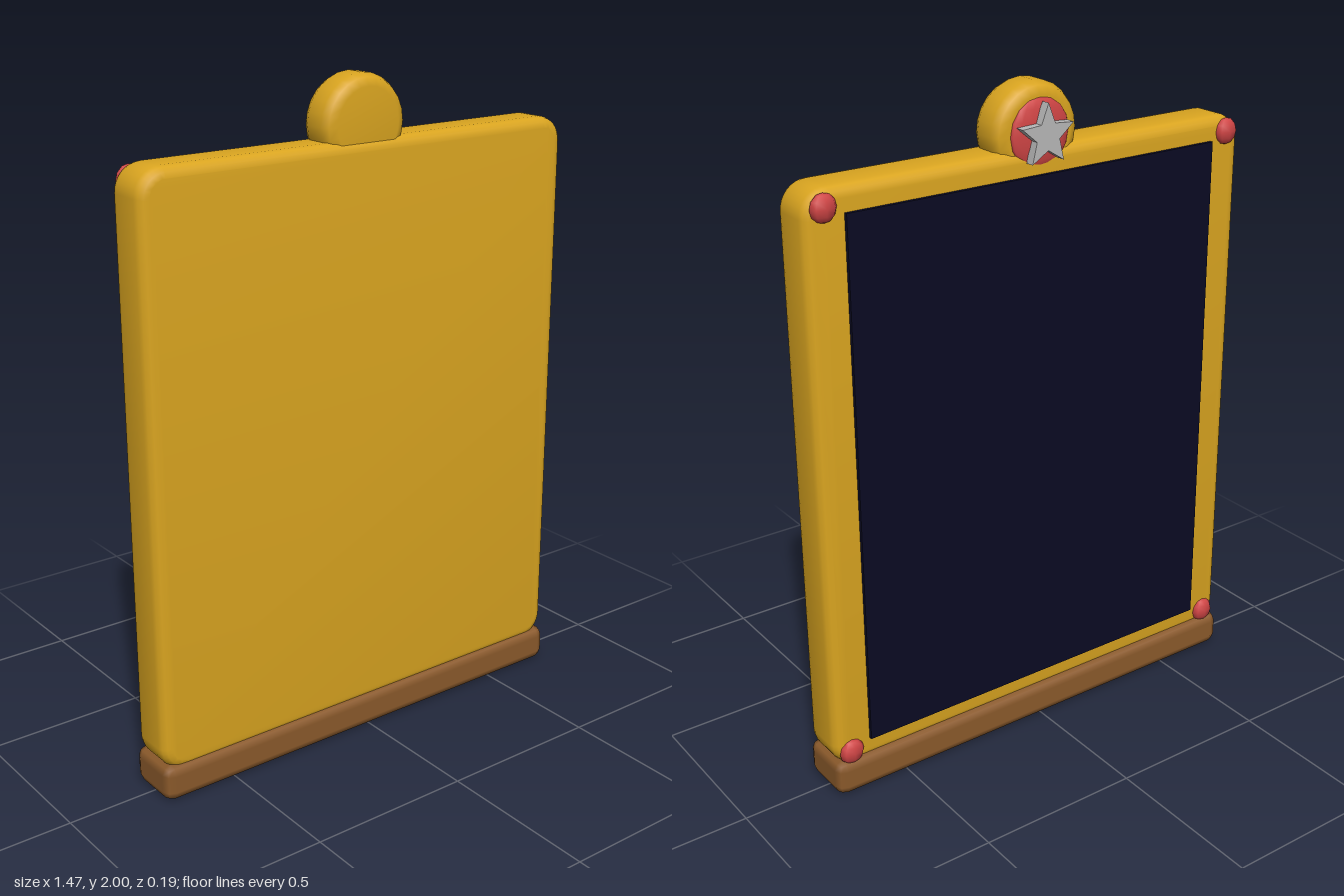
import * as THREE from 'three';
import { toCreasedNormals } from 'three/addons/utils/BufferGeometryUtils.js';
import { RoundedBoxGeometry } from 'three/addons/geometries/RoundedBoxGeometry.js';

const material = (name, color) => {
  const m = new THREE.MeshStandardMaterial({ color });
  m.name = name;
  return m;
};

// Rectangle outline with rounded corners
function roundedRect(x0, y0, x1, y1, r) {
  const s = new THREE.Shape();
  s.absarc(x1 - r, y1 - r, r, 0, Math.PI / 2);
  s.absarc(x0 + r, y1 - r, r, Math.PI / 2, Math.PI);
  s.absarc(x0 + r, y0 + r, r, Math.PI, Math.PI * 1.5);
  s.absarc(x1 - r, y0 + r, r, Math.PI * 1.5, Math.PI * 2);
  return s;
}

function starShape(outer, inner) {
  const points = [];
  for (let i = 0; i < 10; i++) {
    const a = Math.PI / 2 + (i * Math.PI) / 5;
    const r = i % 2 ? inner : outer;
    points.push(new THREE.Vector2(r * Math.cos(a), r * Math.sin(a)));
  }
  return new THREE.Shape(points);
}

export function createModel() {
  const group = new THREE.Group();
  const gold = material('gold', 0xdaa520);
  const brown = material('brown wood', 0x8b5a2b);
  const navy = material('dark navy', 0x0a0a23);
  const red = material('red gem', 0xd04545);
  const silver = material('silver', 0xb8b8b8);

  const add = (name, geometry, mat, x, y, z) => {
    const mesh = new THREE.Mesh(geometry, mat);
    mesh.name = name;
    mesh.position.set(x, y, z);
    group.add(mesh);
    return mesh;
  };

  // Foot rail
  add('base', new RoundedBoxGeometry(1.474, 0.112, 0.182, 1, 0.03), brown, 0, 0.056, 0.004);

  // Frame slab with softened edges
  const bevel = 0.03;
  const slab = new THREE.ExtrudeGeometry(
    roundedRect(-0.737 + bevel, 0.085 + bevel, 0.737 - bevel, 1.82 - bevel, 0.05),
    { depth: 0.146 - 2 * bevel, bevelEnabled: true, bevelSize: bevel, bevelThickness: bevel, bevelSegments: 3, curveSegments: 4 }
  );
  add('frame', toCreasedNormals(slab, 0.8), gold, 0, 0, -0.066 + bevel);

  // Dark panel on the back
  add('panel', new THREE.BoxGeometry(1.24, 1.59, 0.016), navy, 0, 0.953, -0.069);

  // Round crest, its lower half sunk into the frame
  const profile = [[0, -0.064], [0.105, -0.064], [0.129, -0.053], [0.14, -0.03],
    [0.14, 0.03], [0.129, 0.053], [0.105, 0.064], [0, 0.064]];
  const crest = new THREE.LatheGeometry(profile.map(([r, h]) => new THREE.Vector2(r, h)), 24);
  crest.rotateX(Math.PI / 2);
  add('crest', crest, gold, 0, 1.86, 0.006);

  // Red boss and silver star on the crest
  add('crestBoss', new THREE.SphereGeometry(0.1, 16, 8), red, 0, 1.86, -0.056).scale.z = 0.2;
  const star = new THREE.ExtrudeGeometry(starShape(0.09, 0.04), { depth: 0.028, bevelEnabled: false });
  add('star', star, silver, 0, 1.86, -0.098);

  // Corner studs
  for (const x of [-0.68, 0.68]) {
    for (const y of [0.135, 1.77]) {
      add('cornerStud', new THREE.SphereGeometry(0.04, 8, 6), red, x, y, -0.065).scale.z = 0.55;
    }
  }
  return group;
}
